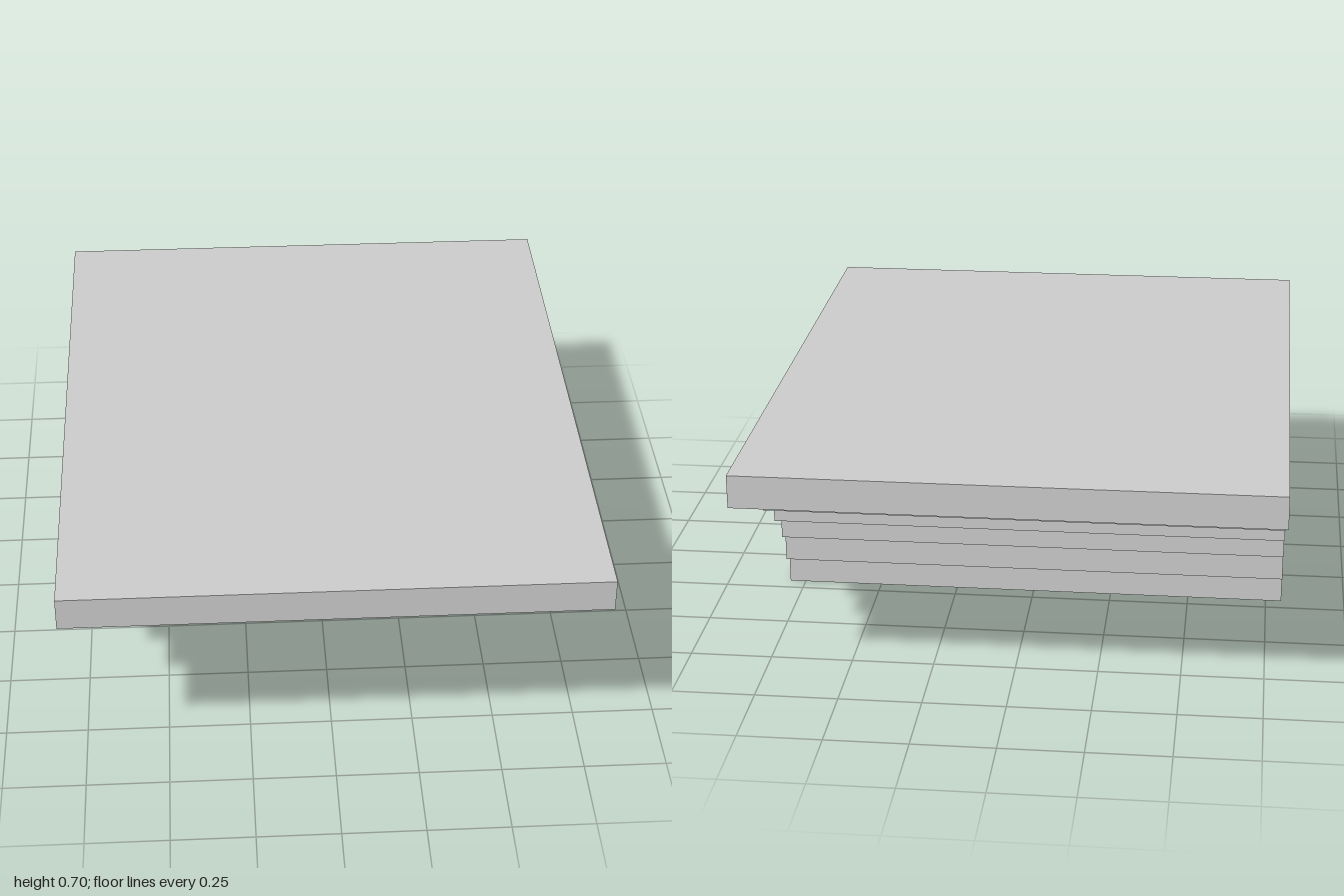
import * as THREE from 'three';

export function createModel() {
  const group = new THREE.Group();
  group.name = 'steppedBlock';

  // Half depth of each layer, from the foot up to the top slab
  const halfDepths = [0.2, 0.25, 0.3, 0.4, 0.55, 0.75, 1];
  const layerHeight = 0.1;
  const width = 1.6;

  // Stepped outline: up one side, then mirrored down the other
  const side = halfDepths.flatMap((d, i) => [
    new THREE.Vector2(d, i * layerHeight),
    new THREE.Vector2(d, (i + 1) * layerHeight),
  ]);
  const mirrored = side.map((p) => new THREE.Vector2(-p.x, p.y)).reverse();
  const outline = new THREE.Shape([...side, ...mirrored]);

  // Extrude the outline across the full width, centred on x
  const geometry = new THREE.ExtrudeGeometry(outline, { depth: width, bevelEnabled: false });
  geometry.translate(0, 0, -width / 2);
  geometry.rotateY(Math.PI / 2);

  const body = new THREE.Mesh(
    geometry,
    new THREE.MeshStandardMaterial({ color: 0xcccccc, flatShading: true })
  );
  body.name = 'steppedBody';
  group.add(body);
  return group;
}
